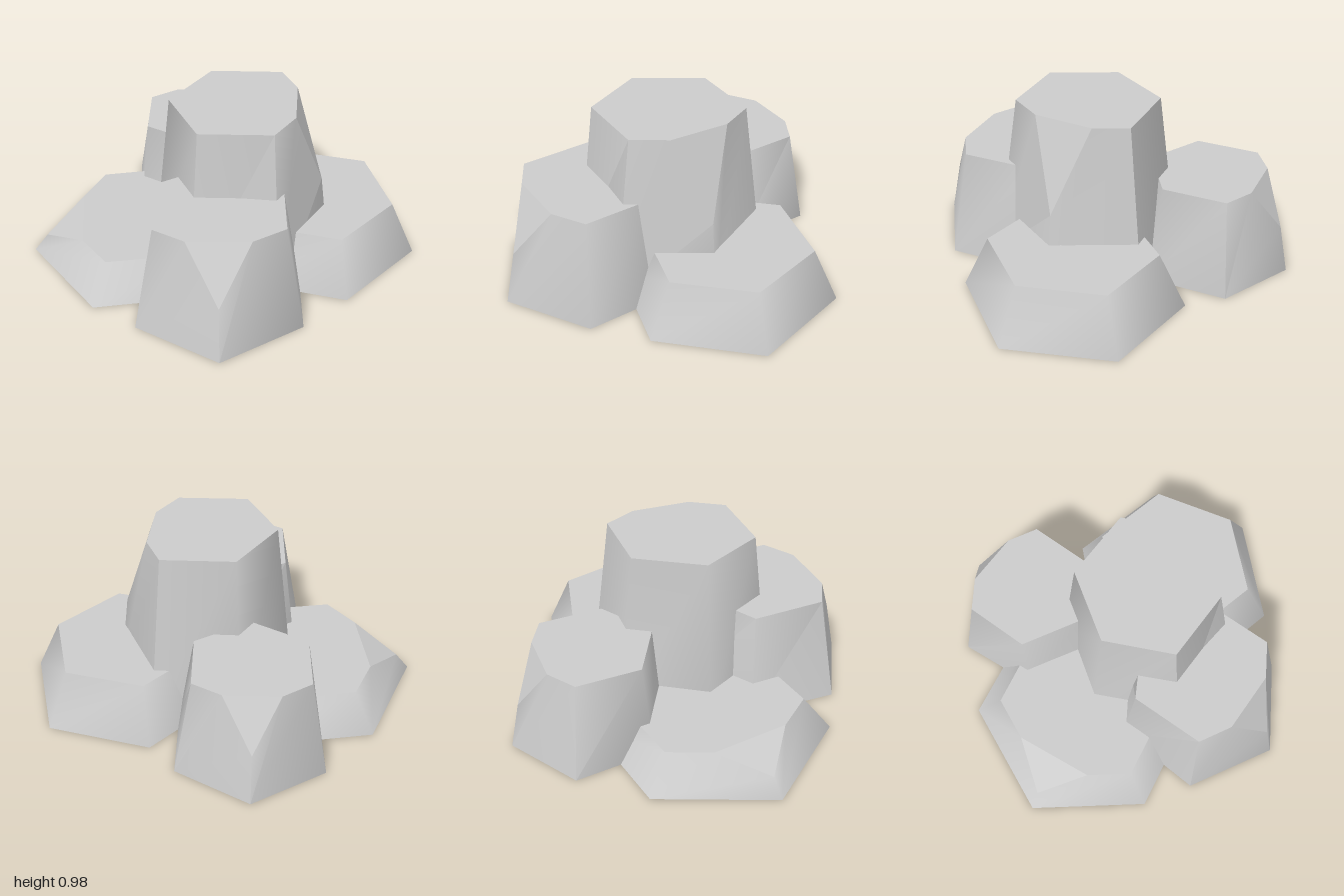
import * as THREE from 'three';
import { mergeGeometries, toCreasedNormals } from 'three/addons/utils/BufferGeometryUtils.js';

const material = new THREE.MeshStandardMaterial({ color: 0xcccccc });

function fromTriangles(points) {
  const geometry = new THREE.BufferGeometry().setFromPoints(points);
  geometry.computeVertexNormals();
  return geometry;
}

// Convex polygon as a triangle fan
function fan(points) {
  const out = [];
  for (let i = 1; i < points.length - 1; i++) out.push(points[0], points[i], points[i + 1]);
  return out;
}

// Tapered six-sided rock; corners are [x, z], counter-clockwise from above.
// chip = { corner, before, after, drop } slices one upper corner off.
function makeRock(name, height, base, top, chip) {
  const low = base.map(([x, z]) => new THREE.Vector3(x, 0, z));
  const high = top.map(([x, z]) => new THREE.Vector3(x, height, z));
  const n = low.length;
  let apex, before, after;
  if (chip) {
    apex = high[chip.corner].clone().lerp(low[chip.corner], chip.drop);
    before = new THREE.Vector3(chip.before[0], height, chip.before[1]);
    after = new THREE.Vector3(chip.after[0], height, chip.after[1]);
  }
  const isChip = (i) => chip && i === chip.corner;

  // Sloping walls, trimmed beside the chip
  const walls = [];
  for (let i = 0; i < n; i++) {
    const j = (i + 1) % n;
    const end = isChip(j) ? [apex, before] : [high[j]];
    const start = isChip(i) ? [after, apex] : [high[i]];
    walls.push(...fan([low[i], low[j], ...end, ...start]));
  }

  // Flat top, underside and chip
  const rim = high.flatMap((p, i) => (isChip(i) ? [before, after] : [p]));
  const flats = [...fan(rim), ...fan([...low].reverse())];
  if (chip) flats.push(apex, after, before);

  const geometry = mergeGeometries([
    toCreasedNormals(fromTriangles(walls), 1.04),
    fromTriangles(flats),
  ]);
  const mesh = new THREE.Mesh(geometry, material);
  mesh.name = name;
  return mesh;
}

export function createModel() {
  const group = new THREE.Group();
  group.name = 'rockCluster';
  group.add(
    makeRock('centreRock', 0.975,
      [[-0.36, 0.215], [0.065, 0.51], [0.525, 0.31], [0.555, -0.245], [0.13, -0.55], [-0.32, -0.315]],
      [[-0.255, 0.175], [0.065, 0.405], [0.415, 0.215], [0.445, -0.2], [0.125, -0.425], [-0.23, -0.235]],
      { corner: 3, before: [0.43, 0], after: [0.285, -0.305], drop: 0.5 }),
    makeRock('frontRock', 0.605,
      [[-0.265, 0.44], [-0.035, 0.9], [0.49, 0.905], [0.74, 0.445], [0.47, -0.02], [-0.02, -0.02]],
      [[-0.18, 0.435], [0.03, 0.795], [0.42, 0.795], [0.62, 0.445], [0.42, 0.1], [0.02, 0.1]],
      { corner: 2, before: [0.225, 0.795], after: [0.52, 0.625], drop: 0.5 }),
    makeRock('backRock', 0.545,
      [[-0.91, -0.45], [-0.65, -0.07], [-0.21, -0.06], [0.01, -0.45], [-0.215, -0.85], [-0.68, -0.855]],
      [[-0.8, -0.445], [-0.62, -0.13], [-0.265, -0.125], [-0.09, -0.44], [-0.27, -0.755], [-0.63, -0.755]],
      { corner: 5, before: [-0.45, -0.755], after: [-0.715, -0.61], drop: 0.5 }),
    makeRock('leftLowRock', 0.31,
      [[0, -0.765], [-0.15, -0.165], [0.28, 0.28], [0.85, 0.13], [1, -0.47], [0.57, -0.915]],
      [[0.1, -0.655], [-0.01, -0.2], [0.31, 0.14], [0.75, 0.025], [0.86, -0.43], [0.535, -0.775]]),
    makeRock('rightLowRock', 0.2,
      [[-1, -0.045], [-0.93, 0.635], [-0.325, 0.885], [0.21, 0.455], [0.14, -0.225], [-0.465, -0.475]],
      [[-0.855, 0.015], [-0.807, 0.536], [-0.34, 0.725], [0.07, 0.4], [0.02, -0.126], [-0.45, -0.32]],
      { corner: 1, before: [-0.83, 0.27], after: [-0.57, 0.63], drop: 0.5 }),
  );
  return group;
}
